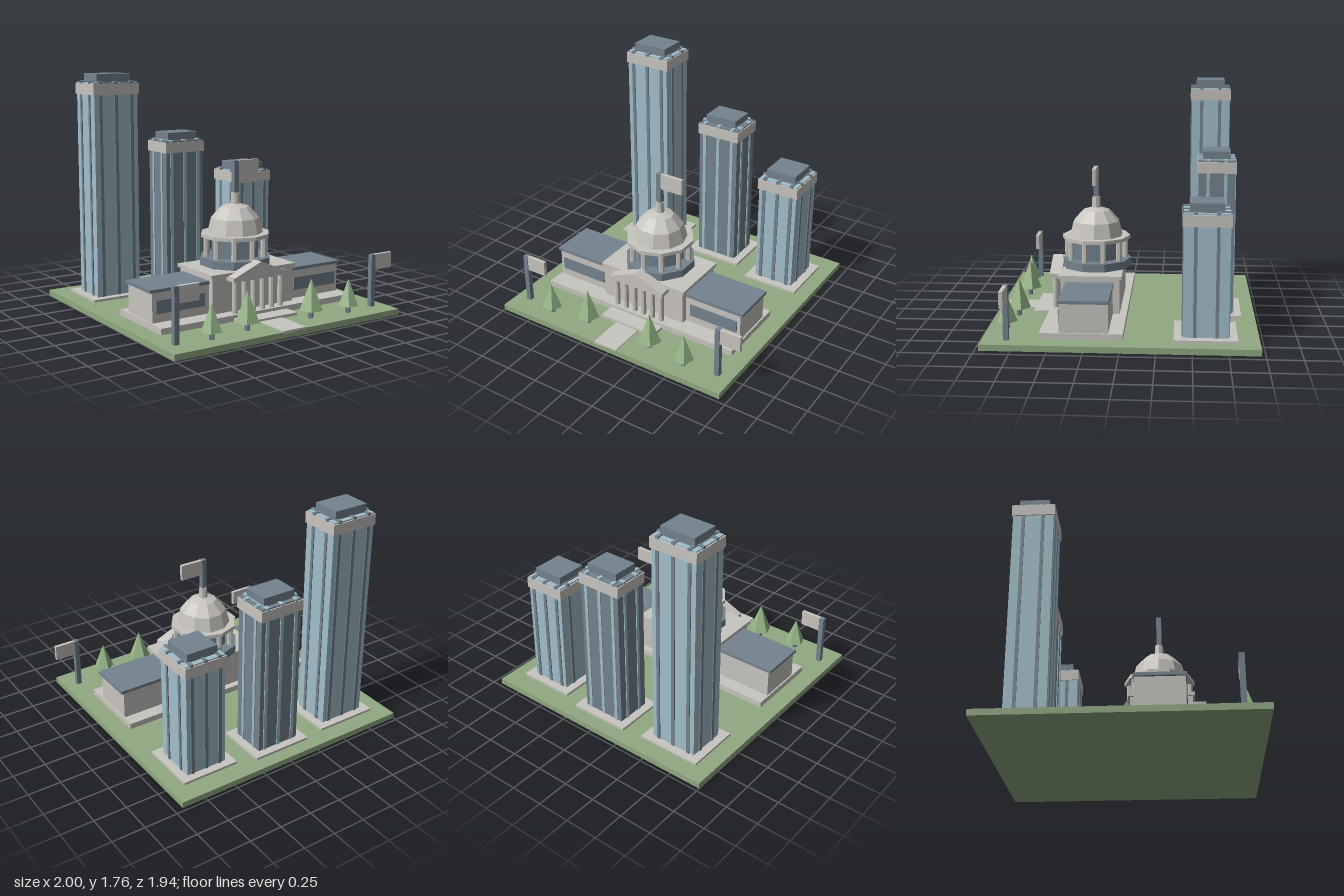
import * as THREE from 'three';

const mat = (name, color) => {
  const m = new THREE.MeshStandardMaterial({ color, flatShading: true });
  m.name = name;
  return m;
};

export function createModel() {
  const lawnGreen = mat('lawn green', 0x91a982);
  const leafGreen = mat('leaf green', 0x98b78a);
  const stone = mat('pale stone', 0xc8c5c0);
  const glass = mat('light glass', 0xa2bfca);
  const slate = mat('slate blue', 0x74838f);
  const model = new THREE.Group();
  model.name = 'civicCentre';
  const CX = -0.032; // axis of the domed hall
  const DZ = 0.236; // depth of the dome axis

  const group = (name, parent = model) => {
    const g = new THREE.Group();
    g.name = name;
    parent.add(g);
    return g;
  };
  const add = (name, geo, material, parent, x = 0, y = 0, z = 0) => {
    const m = new THREE.Mesh(geo, material);
    m.name = name;
    m.position.set(x, y, z);
    parent.add(m);
    return m;
  };
  // Box given by its limits on each axis
  const box = (name, material, parent, x0, x1, y0, y1, z0, z1) =>
    add(name, new THREE.BoxGeometry(x1 - x0, y1 - y0, z1 - z0), material, parent,
      (x0 + x1) / 2, (y0 + y1) / 2, (z0 + z1) / 2);
  // Box centred on x and z
  const block = (name, material, parent, x, z, w, d, y0, y1) =>
    box(name, material, parent, x - w / 2, x + w / 2, y0, y1, z - d / 2, z + d / 2);
  const drum = (name, material, parent, x, z, r, y0, y1, sides, rTop = r) =>
    add(name, new THREE.CylinderGeometry(rTop, r, y1 - y0, sides), material, parent, x, (y0 + y1) / 2, z);

  // Ground
  box('lawn', lawnGreen, model, -1, 0.937, 0, 0.045, -0.972, 0.972);
  box('path', stone, model, -0.13, 0.067, 0.03, 0.052, 0.6, 0.972);

  // Towers: shaft, crossing fins, crown band and roof box
  const towers = [
    { name: 'tallTower', x: -0.627, z: -0.634, w: 0.364, d: 0.294, top: 1.705, wall: glass, fin: slate },
    { name: 'middleTower', x: 0.006, z: -0.672, w: 0.34, d: 0.27, top: 1.225, wall: slate, fin: glass },
    { name: 'shortTower', x: 0.601, z: -0.594, w: 0.318, d: 0.324, top: 0.95, wall: glass, fin: slate },
  ];
  for (const t of towers) {
    const g = group(t.name);
    block('plinth', stone, g, t.x, t.z, t.w + 0.128, t.d + 0.124, 0.03, 0.063);
    block('shaft', t.wall, g, t.x, t.z, t.w, t.d, 0.05, t.top - 0.004);
    for (const k of [-1, 0, 1])
      block('frontFin', t.fin, g, t.x + k * t.w * 0.36, t.z, 0.026, t.d + 0.014, 0.05, t.top + 0.004);
    for (const k of [-1, 1])
      block('sideFin', t.fin, g, t.x, t.z + k * t.d * 0.24, t.w + 0.014, 0.024, 0.05, t.top + 0.004);
    block('crownBand', stone, g, t.x, t.z, t.w + 0.018, t.d + 0.018, t.top - 0.097, t.top - 0.014);
    block('roofBox', slate, g, t.x, t.z, t.w * 0.77, t.d * 0.74, t.top - 0.01, t.top + 0.06);
  }

  // Hall: terrace, wings and central block
  const hall = group('domedHall');
  box('terrace', stone, hall, -0.863, 0.8, 0.03, 0.09, -0.018, 0.57);
  box('frontStep', stone, hall, -0.267, 0.203, 0.03, 0.067, 0.56, 0.693);
  for (const s of [-1, 1]) {
    const wing = group(s < 0 ? 'rightWing' : 'leftWing', hall);
    block('wall', stone, wing, CX + s * 0.575, 0.258, 0.49, 0.344, 0.08, 0.308);
    block('roof', slate, wing, CX + s * 0.585, 0.258, 0.51, 0.356, 0.305, 0.328);
    block('window', slate, wing, CX + s * 0.595, 0.434, 0.395, 0.01, 0.153, 0.25);
  }
  box('centreBlock', stone, hall, -0.387, 0.323, 0.08, 0.36, 0.035, 0.475);
  box('centreRoof', stone, hall, -0.404, 0.34, 0.353, 0.378, 0.02, 0.49);

  // Portico
  const portico = group('portico', hall);
  box('beam', stone, portico, -0.267, 0.203, 0.325, 0.357, 0.47, 0.567);
  for (let i = 0; i < 6; i++)
    drum('column', stone, portico, CX + (i - 2.5) * 0.08, 0.53, 0.021, 0.08, 0.33, 8);
  const gable = new THREE.Shape([
    new THREE.Vector2(-0.235, 0), new THREE.Vector2(0.235, 0), new THREE.Vector2(0, 0.096)]);
  add('pediment', new THREE.ExtrudeGeometry(gable, { depth: 0.09, bevelEnabled: false }),
    stone, portico, CX, 0.354, 0.481);

  // Dome on its ring of columns
  const dome = group('domeTower', hall);
  drum('drumBase', slate, dome, CX, DZ, 0.268, 0.375, 0.438, 10);
  drum('drumCore', slate, dome, CX, DZ, 0.18, 0.43, 0.59, 10);
  for (let i = 0; i < 10; i++) {
    const a = (i / 10) * Math.PI * 2;
    drum('drumColumn', stone, dome, CX + Math.sin(a) * 0.222, DZ + Math.cos(a) * 0.222, 0.021, 0.43, 0.59, 6);
  }
  drum('cornice', stone, dome, CX, DZ, 0.26, 0.585, 0.613, 10);
  add('domeShell', new THREE.SphereGeometry(0.206, 10, 3, 0, Math.PI * 2, 0, Math.PI / 2),
    stone, dome, CX, 0.612, DZ).scale.y = 1.09;
  drum('lantern', stone, dome, CX, DZ, 0.035, 0.81, 0.91, 8, 0.03);

  // Flags on poles, each flying toward the model's left
  const flag = (name, x, z, y0, y1, length, drop) => {
    const g = group(name);
    block('pole', slate, g, x, z, 0.038, 0.038, y0, y1);
    box('banner', stone, g, x + 0.019, x + 0.019 + length, y1 - drop, y1, z - 0.014, z + 0.014);
  };
  flag('domeFlag', CX, DZ, 0.89, 1.145, 0.179, 0.121);
  flag('rightFlag', -0.885, 0.796, 0.04, 0.44, 0.16, 0.117);
  flag('leftFlag', 0.821, 0.796, 0.04, 0.44, 0.16, 0.117);

  // Trees
  for (const [x, z, r, y0, y1] of [
    [-0.628, 0.834, 0.077, 0.1, 0.297], [-0.311, 0.797, 0.088, 0.106, 0.334],
    [0.245, 0.797, 0.088, 0.106, 0.334], [0.562, 0.834, 0.077, 0.1, 0.297]]) {
    const tree = group('tree');
    drum('trunk', slate, tree, x, z, 0.02, 0.04, y0 + 0.01, 5);
    add('foliage', new THREE.ConeGeometry(r, y1 - y0, 5), leafGreen, tree, x, (y0 + y1) / 2, z)
      .rotation.y = Math.PI;
  }
  return model;
}
